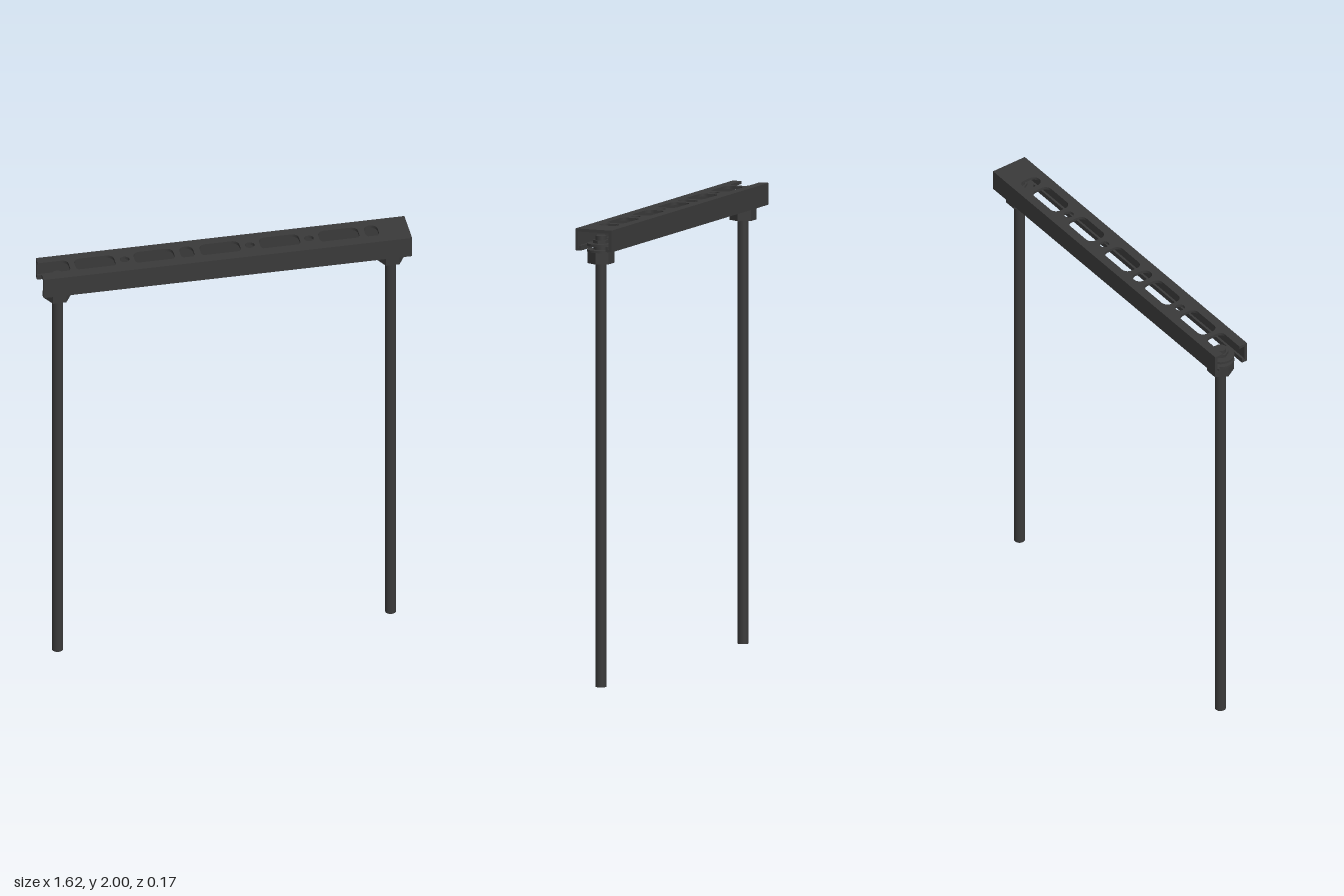
import * as THREE from 'three';

const L = 0.81, W = 0.085, T = 0.013, TOP = 2, BASE = 1.905;
const SLOT = 0.044, ROD_X = 0.732;

// Rounded slot outline, centred on the channel axis
function slotPath(x0, x1, r) {
  const p = new THREE.Path();
  p.moveTo(x0 + r, -SLOT);
  p.lineTo(x1 - r, -SLOT);
  p.absarc(x1 - r, -SLOT + r, r, -Math.PI / 2, 0, false);
  p.absarc(x1 - r, SLOT - r, r, 0, Math.PI / 2, false);
  p.absarc(x0 + r, SLOT - r, r, Math.PI / 2, Math.PI, false);
  p.absarc(x0 + r, -SLOT + r, r, Math.PI, Math.PI * 1.5, false);
  return p;
}

export function createModel() {
  const group = new THREE.Group();
  const mat = new THREE.MeshStandardMaterial({ color: 0x3a3a3a });

  function add(parent, name, geo, x, y, z) {
    const mesh = new THREE.Mesh(geo, mat);
    mesh.name = name;
    mesh.position.set(x, y, z);
    parent.add(mesh);
    return mesh;
  }

  const channel = new THREE.Group();
  channel.name = 'channel';
  group.add(channel);

  // Slotted top web, with an open slot at the -x end
  const web = new THREE.Shape();
  const r = 0.025, end = -0.68;
  web.moveTo(-L, -W);
  web.lineTo(L, -W);
  web.lineTo(L, W);
  web.lineTo(-L, W);
  web.lineTo(-L, SLOT);
  web.lineTo(end - r, SLOT);
  web.absarc(end - r, SLOT - r, r, Math.PI / 2, 0, true);
  web.absarc(end - r, -SLOT + r, r, 0, -Math.PI / 2, true);
  web.lineTo(-L, -SLOT);
  web.closePath();
  for (const x of [-0.655, -0.395, -0.105, 0.157, 0.417]) web.holes.push(slotPath(x, x + 0.175, 0.03));
  for (const x of [-0.193, 0.618]) web.holes.push(slotPath(x, x + 0.06, 0.0295));
  for (const x of [-0.437, 0.113, 0.373]) {
    const hole = new THREE.Path();
    hole.absarc(x, 0, 0.021, 0, Math.PI * 2, false);
    web.holes.push(hole);
  }
  const webGeo = new THREE.ExtrudeGeometry(web, { depth: T, bevelEnabled: false, curveSegments: 10 });
  webGeo.rotateX(-Math.PI / 2);
  add(channel, 'slottedWeb', webGeo, 0, TOP - T, 0);

  // Side walls with inward flanges and upturned lips
  for (const s of [-1, 1]) {
    const h = TOP - T - BASE;
    add(channel, 'sideWall', new THREE.BoxGeometry(2 * L, h, T), 0, BASE + h / 2, s * (W - T / 2));
    add(channel, 'flange', new THREE.BoxGeometry(2 * L, T, 0.014), 0, BASE + T / 2, s * (W - T - 0.007));
    add(channel, 'lip', new THREE.BoxGeometry(2 * L, 0.022, 0.01), 0, BASE + 0.011, s * 0.063);
  }

  // Threaded rods with their fasteners
  for (const s of [-1, 1]) {
    const hanger = new THREE.Group();
    hanger.name = s > 0 ? 'leftHanger' : 'rightHanger';
    hanger.position.x = s * ROD_X;
    group.add(hanger);
    const cyl = (name, radius, y0, y1, sides) => {
      const geo = new THREE.CylinderGeometry(radius, radius, y1 - y0, sides);
      // Hex parts get flat faces and corners along x
      const flat = sides === 6 ? geo.rotateY(Math.PI / 2).toNonIndexed() : geo;
      if (sides === 6) flat.computeVertexNormals();
      add(hanger, name, flat, 0, (y0 + y1) / 2, 0);
    };
    cyl('rod', 0.024, 0, 1.965, 24);
    cyl('lowerNut', 0.058, 1.845, 1.898, 6);
    cyl('lowerWasher', 0.06, 1.895, 1.905, 32);
    cyl('collar', 0.033, 1.905, 1.925, 24);
    cyl('upperWasher', 0.06, 1.921, 1.932, 32);
    cyl('upperNut', 0.034, 1.932, 1.946, 6);
  }
  return group;
}
